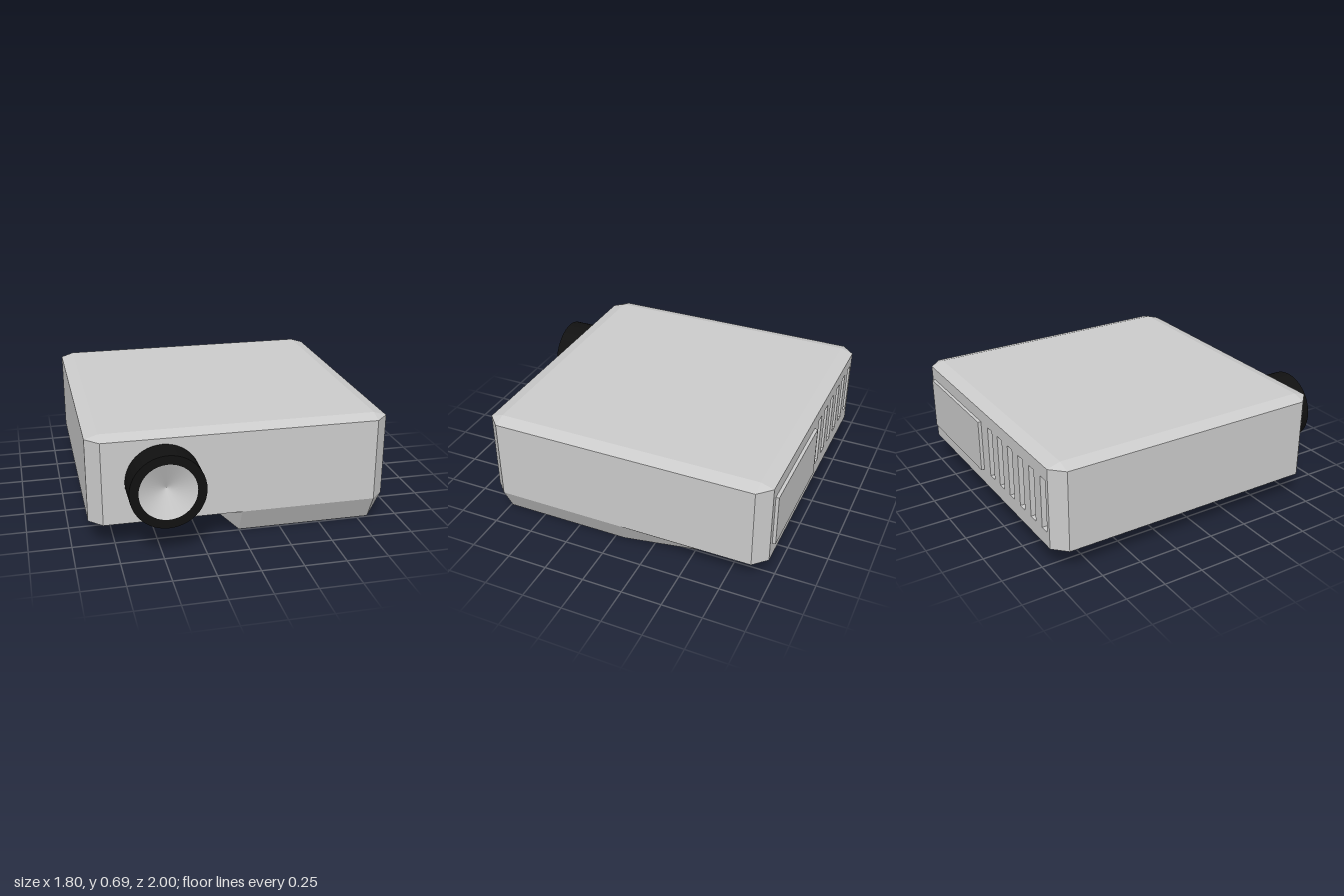
import * as THREE from 'three';

const grey = new THREE.MeshStandardMaterial({ color: 0xcccccc, flatShading: true });
const smoothGrey = new THREE.MeshStandardMaterial({ color: 0xcccccc, side: THREE.DoubleSide });
const black = new THREE.MeshStandardMaterial({ color: 0x111111 });
const green = new THREE.MeshStandardMaterial({ color: 0x2c6a2c });

const WALL_LOW = 0.155, WALL_HIGH = 0.66, TOP = 0.685, BASE = 0.135;
const BACK = -0.98, SLOT_DEPTH = 0.05;
const CENTRE = new THREE.Vector3(0, 0.4, -0.08);

function add(group, name, geometry, material, x = 0, y = 0, z = 0) {
  const mesh = new THREE.Mesh(geometry, material);
  mesh.name = name;
  mesh.position.set(x, y, z);
  group.add(mesh);
  return mesh;
}

// Appends a polygon as a fan of triangles wound away from the body centre
function face(out, points) {
  for (let i = 1; i < points.length - 1; i++) {
    const tri = [points[0], points[i], points[i + 1]].map(p => new THREE.Vector3(...p));
    const normal = new THREE.Triangle(...tri).getNormal(new THREE.Vector3());
    if (normal.dot(tri[0].clone().sub(CENTRE)) < 0) tri.reverse();
    tri.forEach(p => out.push(p.x, p.y, p.z));
  }
}

// Bevelled sheet: rim at rimY, inside at height(x, z), outer corners cut off
function sheet(out, xs, zs, rimY, height) {
  const point = (i, j) => {
    const rimX = i === 0 || i === xs.length - 1, rimZ = j === 0 || j === zs.length - 1;
    if (rimX && rimZ) return null;
    return [xs[i], rimX || rimZ ? rimY : height(xs[i], zs[j]), zs[j]];
  };
  for (let i = 0; i < xs.length - 1; i++) {
    for (let j = 0; j < zs.length - 1; j++) {
      face(out, [point(i + 1, j), point(i, j), point(i, j + 1), point(i + 1, j + 1)].filter(Boolean));
    }
  }
}

// Underside: shallow on the right, deep on the left and rising to the back
function undersideHeight(x, z) {
  if (x < -0.01) return BASE;
  return z >= -0.06 ? 0 : BASE * (-0.06 - z) / 0.84;
}

function bodyGeometry() {
  const out = [];
  sheet(out, [-0.9, -0.82, 0.82, 0.9], [0.82, 0.74, -0.9, BACK], WALL_HIGH, () => TOP);
  sheet(out, [-0.9, -0.82, -0.14, 0, 0.82, 0.9], [0.82, 0.74, -0.06, -0.53, -0.9, BACK],
    WALL_LOW, undersideHeight);
  // Side walls; the back is left open for the slotted panel
  const ring = [[-0.82, BACK], [-0.9, -0.9], [-0.9, 0.74], [-0.82, 0.82],
    [0.82, 0.82], [0.9, 0.74], [0.9, -0.9], [0.82, BACK]];
  for (let i = 0; i < ring.length - 1; i++) {
    const [ax, az] = ring[i], [bx, bz] = ring[i + 1];
    face(out, [[ax, WALL_LOW, az], [bx, WALL_LOW, bz], [bx, WALL_HIGH, bz], [ax, WALL_HIGH, az]]);
  }
  const geometry = new THREE.BufferGeometry();
  geometry.setAttribute('position', new THREE.Float32BufferAttribute(out, 3));
  geometry.computeVertexNormals();
  return geometry;
}

function rectangle(Type, x0, x1, y0, y1) {
  return new Type([[x0, y0], [x1, y0], [x1, y1], [x0, y1]].map(p => new THREE.Vector2(...p)));
}

// Solid with a side outline of [z, y] points, spread across a width in x
function sideProfile(points, width) {
  const shape = new THREE.Shape(points.map(([z, y]) => new THREE.Vector2(-z, y)));
  const geometry = new THREE.ExtrudeGeometry(shape, { depth: width, bevelEnabled: false });
  return geometry.translate(0, 0, -width / 2).rotateY(Math.PI / 2);
}

export function createModel() {
  const model = new THREE.Group();
  model.name = 'projector';
  add(model, 'body', bodyGeometry(), grey);

  // Back wall with six vent slots
  const wall = rectangle(THREE.Shape, -0.82, 0.82, WALL_LOW, WALL_HIGH);
  for (let i = 0; i < 6; i++) {
    const x = -0.083 - i * 0.136;
    wall.holes.push(rectangle(THREE.Path, x - 0.03, x + 0.03, 0.25, 0.58));
  }
  add(model, 'slottedBackWall',
    new THREE.ExtrudeGeometry(wall, { depth: SLOT_DEPTH, bevelEnabled: false }), grey, 0, 0, BACK);
  const floor = add(model, 'ventFloor', new THREE.PlaneGeometry(0.82, 0.4), grey,
    -0.41, 0.415, BACK + SLOT_DEPTH);
  floor.rotation.y = Math.PI;
  add(model, 'rearPanel', new THREE.BoxGeometry(0.74, 0.33, 0.02), grey, 0.41, 0.415, -0.99);

  // Lens barrel and concave lens, turned to face the front
  const lens = new THREE.Group();
  lens.name = 'lens';
  lens.position.set(-0.47, 0.41, 0.83);
  lens.rotation.x = Math.PI / 2;
  model.add(lens);
  add(lens, 'lensBarrel', new THREE.CylinderGeometry(0.22, 0.22, 0.17, 48, 1, true), black, 0, 0.085, 0);
  const rim = add(lens, 'lensRim', new THREE.RingGeometry(0.167, 0.22, 48), black, 0, 0.17, 0);
  rim.rotation.x = -Math.PI / 2;
  const back = add(lens, 'lensBack', new THREE.CircleGeometry(0.22, 48), black);
  back.rotation.x = Math.PI / 2;
  const bowl = [[0, 0.1], [0.167, 0.17]].map(p => new THREE.Vector2(...p));
  add(lens, 'lensGlass', new THREE.LatheGeometry(bowl, 48), smoothGrey);

  // Wedge-shaped foot with a green inset under the right rear
  const foot = new THREE.Group();
  foot.name = 'rearFoot';
  foot.position.x = -0.63;
  model.add(foot);
  add(foot, 'footWedge', sideProfile([[-0.54, 0.14], [-0.54, 0.112], [-0.715, 0.077], [-0.715, 0.14]], 0.105), black);
  add(foot, 'footInset', sideProfile([[-0.56, 0.112], [-0.56, 0.106], [-0.64, 0.09], [-0.64, 0.1]], 0.08), green);
  return model;
}
